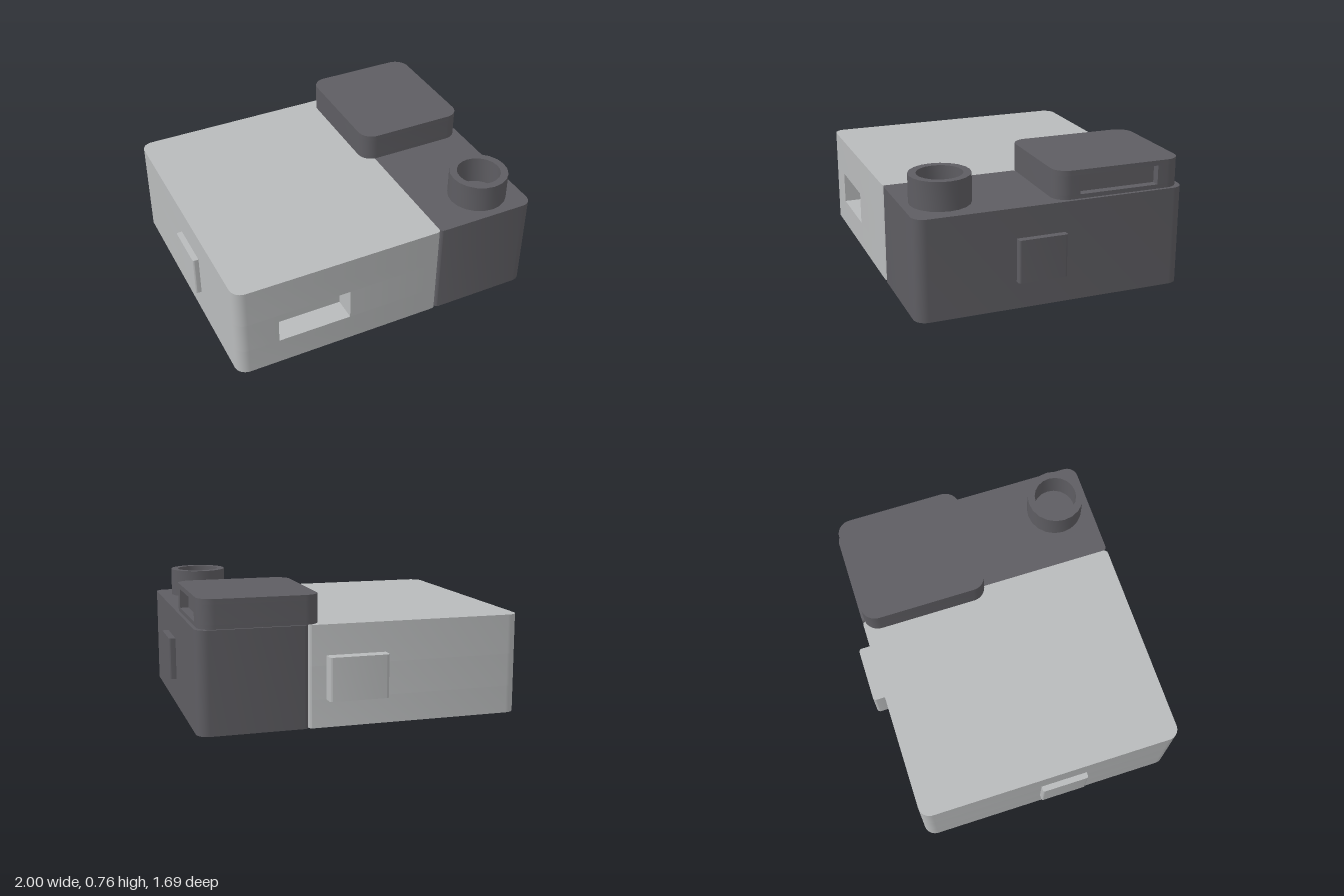
import * as THREE from 'three';
import { toCreasedNormals } from 'three/addons/utils/BufferGeometryUtils.js';

// Closed plan outline from corners [x, z, radius], rounded where radius > 0
function outline(corners) {
  const shape = new THREE.Shape();
  const n = corners.length;
  corners.forEach(([x, z, r = 0], i) => {
    const p = new THREE.Vector2(x, -z);
    const toward = (c) => new THREE.Vector2(c[0], -c[1]).sub(p).normalize();
    const u = toward(corners[(i + n - 1) % n]);
    const v = toward(corners[(i + 1) % n]);
    const at = (d, t) => p.clone().addScaledVector(d, t);
    const a = at(u, r), b = at(v, r);
    if (i === 0) shape.moveTo(a.x, a.y);
    else shape.lineTo(a.x, a.y);
    if (r > 0) {
      const c = at(u, r * 0.45), d = at(v, r * 0.45);
      shape.bezierCurveTo(c.x, c.y, d.x, d.y, b.x, b.y);
    }
  });
  return shape;
}

function circle(x, z, r, type = THREE.Path) {
  const path = new type();
  path.absarc(x, -z, r, 0, Math.PI * 2, false);
  return path;
}

export function createModel() {
  const model = new THREE.Group();
  const light = new THREE.MeshStandardMaterial({ color: 0xb9bbbc });
  light.name = 'light grey';
  const dark = new THREE.MeshStandardMaterial({ color: 0x5e5d62 });
  dark.name = 'dark grey';

  // Upright slab between heights y0 and y1
  function slab(parent, name, material, shape, y0, y1) {
    const geo = new THREE.ExtrudeGeometry(shape, {
      depth: y1 - y0, bevelEnabled: false, curveSegments: 10,
    });
    geo.rotateX(-Math.PI / 2);
    geo.translate(0, y0, 0);
    const mesh = new THREE.Mesh(toCreasedNormals(geo, 0.5), material);
    mesh.name = name;
    parent.add(mesh);
  }

  function part(name) {
    const group = new THREE.Group();
    group.name = name;
    model.add(group);
    return group;
  }

  const back = -0.77, front = 0.845, seam = 0.325, top = 0.595, capTop = 0.763;

  // Light housing in three layers: drilled base, layer with front slot, lid
  const housing = part('mainHousing');
  const housingPlan = (slot = []) => outline([
    [-0.965, back, 0.07], [seam, back, 0.025], [seam, front, 0.025],
    ...slot, [-0.965, front, 0.07],
  ]);
  const base = housingPlan();
  base.holes.push(circle(0.14, -0.54, 0.04), circle(-0.81, 0.51, 0.04));
  slab(housing, 'housingBase', light, base, 0, 0.165);
  slab(housing, 'housingSlotLayer', light, housingPlan([
    [-0.26, front], [-0.26, front - 0.14], [-0.71, front - 0.14], [-0.71, front],
  ]), 0.165, 0.36);
  slab(housing, 'housingLid', light, housingPlan(), 0.36, top);

  // Dark side block
  slab(model, 'sideBlock', dark, outline([
    [seam, back, 0.03], [0.96, back, 0.07], [0.96, front, 0.07], [seam, front, 0.025],
  ]), 0, top);

  // Overhanging cap in three layers, the middle one with a slot on its left side
  const cap = part('topCap');
  const capPlan = (slot = []) => outline([
    [0.25, -0.755, 0.09], [0.94, -0.755, 0.09], ...slot, [0.94, 0.025, 0.09], [0.25, 0.025, 0.09],
  ]);
  slab(cap, 'capBottom', dark, capPlan(), top, 0.62);
  slab(cap, 'capSlotLayer', dark, capPlan([
    [0.94, -0.605], [0.89, -0.605], [0.89, -0.12], [0.94, -0.12],
  ]), 0.62, 0.733);
  slab(cap, 'capTop', dark, capPlan(), 0.733, capTop);

  // Hollow round collar
  const ring = circle(0.705, 0.62, 0.176, THREE.Shape);
  ring.holes.push(circle(0.705, 0.62, 0.131));
  slab(model, 'collar', dark, ring, top, capTop);

  // Raised pads on the two sides and the back
  const r = 0.012;
  slab(model, 'rightPad', light, outline([
    [-1, -0.025, r], [-0.96, -0.025], [-0.96, 0.265], [-1, 0.265, r],
  ]), 0.165, 0.418);
  slab(model, 'leftPad', dark, outline([
    [0.955, -0.025], [1, -0.025, r], [1, 0.265, r], [0.955, 0.265],
  ]), 0.165, 0.418);
  slab(model, 'backPad', light, outline([
    [-0.13, -0.845, 0.02], [0.225, -0.845, 0.02], [0.225, -0.765], [-0.13, -0.765],
  ]), 0.165, 0.418);

  return model;
}
